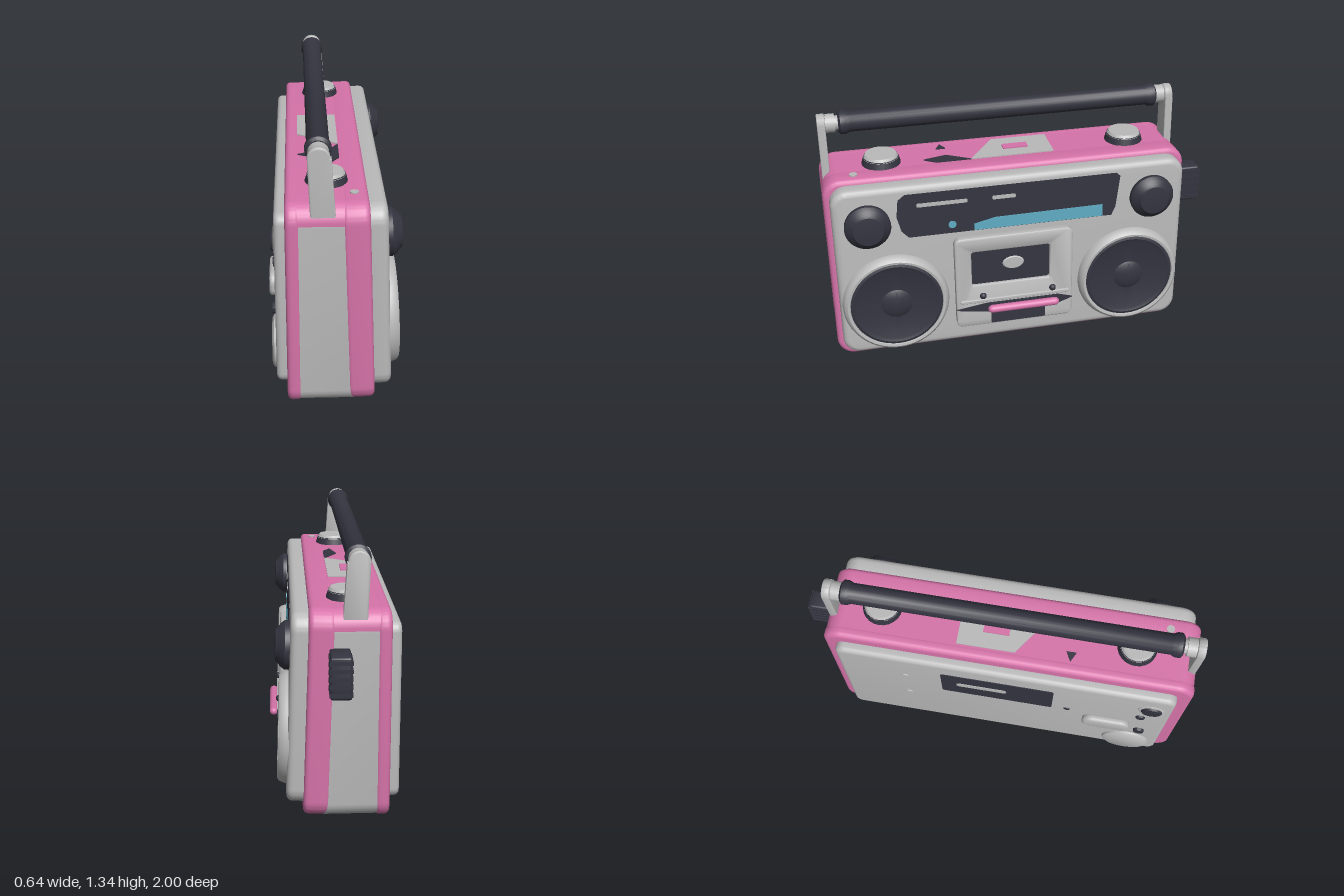
import * as THREE from 'three';
import { toCreasedNormals } from 'three/addons/utils/BufferGeometryUtils.js';

const paint = (name, color) => Object.assign(new THREE.MeshStandardMaterial({ color }), { name });
const MID = 0.55; // height about which the front half leans back

export function createModel() {
  const grey = paint('light grey', 0xbababa);
  const pink = paint('pink', 0xd673a9);
  const dark = paint('charcoal', 0x343440);
  const cyan = paint('cyan', 0x5fabc2);

  // Built facing +z, then turned so the speakers face +x
  const radio = new THREE.Group();
  radio.name = 'portableRadio';
  const front = new THREE.Group();
  front.name = 'frontHalf';
  front.position.y = MID;
  front.rotation.x = -0.035;
  radio.add(front);

  const add = (parent, name, geo, mat, x = 0, y = 0, z = 0) => {
    const m = new THREE.Mesh(geo, mat);
    m.name = name;
    m.position.set(x, parent === front ? y - MID : y, z);
    parent.add(m);
    return m;
  };

  const roundRect = (x0, x1, y0, y1, r, Type = THREE.Shape) => {
    const s = new Type();
    s.moveTo(x0 + r, y0);
    s.lineTo(x1 - r, y0);
    s.absarc(x1 - r, y0 + r, r, -Math.PI / 2, 0);
    s.lineTo(x1, y1 - r);
    s.absarc(x1 - r, y1 - r, r, 0, Math.PI / 2);
    s.lineTo(x0 + r, y1);
    s.absarc(x0 + r, y1 - r, r, Math.PI / 2, Math.PI);
    s.lineTo(x0, y0 + r);
    s.absarc(x0 + r, y0 + r, r, Math.PI, Math.PI * 1.5);
    return s;
  };

  // Extrude a shape between two depths, with a soft bevel
  const slab = (shape, z0, z1, bevel = 0) => {
    const g = new THREE.ExtrudeGeometry(shape, {
      depth: z1 - z0 - 2 * bevel, curveSegments: 8, bevelEnabled: bevel > 0,
      bevelThickness: bevel, bevelSize: bevel, bevelOffset: -bevel, bevelSegments: 4,
    });
    g.translate(0, 0, z0 + bevel);
    return toCreasedNormals(g, 0.7);
  };
  const plate = (parent, name, mat, [x0, x1, y0, y1], z0, z1, r, bevel = 0) =>
    add(parent, name, slab(roundRect(x0, x1, y0, y1, r), z0, z1, bevel), mat);
  const poly = (pts) => new THREE.Shape(pts.map((p) => new THREE.Vector2(...p)));
  // Turned part whose axis points along +z
  const turned = (pts, seg = 40) => toCreasedNormals(
    new THREE.LatheGeometry(pts.map((p) => new THREE.Vector2(...p)), seg).rotateX(Math.PI / 2), 0.6);

  // Case: pink rear shell, grey middle band, pink top, pink front shell
  plate(radio, 'rearShell', pink, [-1, 0.86, 0.04, 1.055], -0.24, -0.17, 0.09, 0.025);
  plate(radio, 'middleBand', grey, [-0.995, 0.855, 0.045, 1.04], -0.19, 0.07, 0.085);
  const lid = new THREE.Shape();
  lid.moveTo(-0.995, 0.965);
  lid.lineTo(0.855, 0.965);
  lid.absarc(0.77, 0.97, 0.085, 0, Math.PI / 2);
  lid.lineTo(-0.91, 1.055);
  lid.absarc(-0.91, 0.97, 0.085, Math.PI / 2, Math.PI);
  add(radio, 'topCover', slab(lid, -0.19, 0.07), pink);
  plate(front, 'frontShell', pink, [-1, 0.86, 0.045, 1.055], 0.025, 0.15, 0.09, 0.025);
  plate(front, 'frontPanel', grey, [-0.97, 0.835, 0.1, 1.03], 0.12, 0.23, 0.085, 0.03);
  plate(radio, 'backPanel', grey, [-0.925, 0.795, 0.12, 0.985], -0.29, -0.2, 0.05, 0.025);

  // Tuner window with scale strip
  add(front, 'tunerWindow', slab(poly([[-0.6, 0.752], [0.45, 0.752], [0.47, 0.8], [0.49, 0.97],
    [0.47, 0.988], [-0.61, 0.988], [-0.645, 0.96], [-0.655, 0.87], [-0.635, 0.79]]), 0.226, 0.234), dark);
  add(front, 'tunerScale', slab(poly([[-0.27, 0.755], [0.4, 0.755], [0.4, 0.82], [-0.16, 0.815],
    [-0.27, 0.79]]), 0.23, 0.238), cyan);
  add(front, 'tunerLamp', turned([[0.02, 0], [0.02, 0.008], [0, 0.008]], 16), cyan, -0.38, 0.8, 0.23);
  for (const [x0, x1] of [[-0.555, -0.3], [-0.175, -0.055]])
    plate(front, 'tunerMark', grey, [x0, x1, 0.915, 0.935], 0.23, 0.237, 0.008);

  // Front knobs
  for (const x of [-0.8, 0.66])
    add(front, 'frontKnob', turned([[0.113, 0], [0.115, 0.035], [0.1, 0.055], [0.085, 0.065],
      [0.075, 0.078], [0.03, 0.082], [0, 0.082]]), dark, x, 0.84, 0.218);

  // Speakers: raised grey rim, dark cone and dust cap
  for (const x of [-0.685, 0.55]) {
    add(front, 'speakerRim', turned([[0.275, -0.02], [0.272, 0.02], [0.262, 0.045], [0.25, 0.054],
      [0.238, 0.052], [0.232, 0.035]], 56), grey, x, 0.39, 0.22);
    add(front, 'speakerCone', turned([[0.237, 0.045], [0.222, 0.05], [0.205, 0.043], [0.08, 0.034],
      [0.07, 0.04], [0.04, 0.048], [0, 0.051]], 56), dark, x, 0.39, 0.22);
  }

  // Cassette door with recessed window
  const door = roundRect(-0.38, 0.238, 0.2, 0.722, 0.035);
  door.holes.push(roundRect(-0.295, 0.115, 0.445, 0.64, 0.015, THREE.Path));
  add(front, 'cassetteDoor', slab(door, 0.21, 0.268, 0.01), grey);
  plate(front, 'cassetteWindow', dark, [-0.3, 0.12, 0.44, 0.645], 0.236, 0.25, 0.01);
  const hub = add(front, 'cassetteHub', turned([[0.058, 0], [0.05, 0.007], [0, 0.008]], 20), grey, -0.075, 0.55, 0.249);
  hub.scale.y = 0.65;
  plate(front, 'doorLedge', grey, [-0.36, 0.22, 0.345, 0.365], 0.25, 0.28, 0.008, 0.005);
  for (const x of [-0.24, 0.13])
    add(front, 'doorPin', new THREE.SphereGeometry(0.018, 12, 8), dark, x, 0.38, 0.268);
  add(front, 'latchBase', slab(poly([[-0.38, 0.312], [-0.22, 0.285], [0.16, 0.285], [0.235, 0.312],
    [0.16, 0.335], [-0.22, 0.335]]), 0.255, 0.278), dark);
  const bar = add(front, 'latchBar', new THREE.CapsuleGeometry(0.022, 0.335, 6, 14).rotateZ(Math.PI / 2),
    pink, -0.03, 0.31, 0.295);
  bar.scale.y = 0.95;
  plate(front, 'latchRecess', dark, [-0.2, 0.09, 0.21, 0.275], 0.264, 0.272, 0.01);

  // Carrying handle: flat posts, collars and padded grip
  const HY = 1.275, HZ = -0.09;
  const post = new THREE.Shape();
  post.moveTo(-0.125, 0.93);
  post.lineTo(-0.012, 0.93);
  post.lineTo(-0.035, HY);
  post.absarc(HZ, HY, 0.05, 0, Math.PI);
  for (const [x, s] of [[-0.968, 1], [0.822, -1]]) {
    const g = slab(post, -0.02, 0.02, 0.006).rotateY(-Math.PI / 2);
    add(radio, 'handlePost', g, grey, x, 0, 0);
    for (const [r, w, d] of [[0.036, 0.09, 0.045], [0.047, 0.045, 0.045]])
      add(radio, 'handleCollar', new THREE.CylinderGeometry(r, r, w, 24).rotateZ(Math.PI / 2), grey, x + s * d, HY, HZ);
  }
  const grip = [[0, -0.82], [0.046, -0.82], [0.06, -0.81], [0.06, -0.785], [0.051, -0.765]];
  const gripPts = [...grip, ...grip.slice().reverse().map(([r, l]) => [r, -l])];
  add(radio, 'handleGrip', turned(gripPts, 28).rotateY(Math.PI / 2), dark, -0.065, HY, HZ);

  // Top dials with grey caps
  for (const x of [-0.69, 0.585]) {
    add(radio, 'dialBase', new THREE.CylinderGeometry(0.088, 0.1, 0.04, 24), dark, x, 1.072, -0.05);
    add(radio, 'dialCap', new THREE.CylinderGeometry(0.078, 0.09, 0.018, 24), grey, x, 1.096, -0.05);
  }

  // Top inlays, drawn as (x, -z) and laid flat
  const inlay = (name, mat, pts, y) => add(radio, name, slab(poly(pts), 0, 0.008).rotateX(-Math.PI / 2), mat, 0, y, 0);
  inlay('topInlay', grey, [[-0.24, -0.02], [0.19, -0.02], [0.19, 0.18], [-0.1, 0.18]], 1.052);
  inlay('topButton', pink, [[-0.06, 0.05], [0.07, 0.05], [0.07, 0.1], [-0.06, 0.1]], 1.058);
  inlay('topArrow', dark, [[-0.48, 0.02], [-0.42, -0.02], [-0.24, -0.02], [-0.36, 0.05]], 1.052);
  inlay('topMarker', dark, [[-0.4, 0.13], [-0.35, 0.13], [-0.375, 0.18]], 1.052);
  add(radio, 'topLamp', new THREE.CylinderGeometry(0.02, 0.02, 0.012, 16), grey, -0.84, 1.058, 0.07);

  // Ribbed knob on the end
  plate(radio, 'sideKnob', dark, [0.85, 0.995, 0.69, 0.89], -0.05, 0.045, 0.015, 0.01);
  for (let i = 0; i < 5; i++)
    add(radio, 'sideKnobRib', new THREE.BoxGeometry(0.125, 0.018, 0.104), dark, 0.9375, 0.715 + i * 0.037, -0.0025);

  // Feet
  for (const x of [-0.7, 0.555]) {
    const foot = add(radio, 'foot', new THREE.CylinderGeometry(0.09, 0.055, 0.06, 20), dark, x, 0.03, -0.05);
    foot.scale.z = 0.6;
  }

  // Back details: label, sockets, cable catch and round cover
  const back = new THREE.Group();
  back.name = 'backDetails';
  back.rotation.y = Math.PI;
  radio.add(back);
  plate(back, 'backLabel', dark, [-0.26, 0.32, 0.62, 0.87], 0.286, 0.294, 0.015);
  plate(back, 'labelMark', grey, [-0.18, 0.08, 0.735, 0.775], 0.29, 0.297, 0.018);
  const disc = (name, mat, x, y, r, h) =>
    add(back, name, turned([[r, 0], [r * 0.97, h * 0.6], [r * 0.85, h], [0, h]], 28), mat, x, y, 0.285);
  disc('backSocketRing', grey, 0.82, 0.825, 0.07, 0.01);
  disc('backSocket', dark, 0.82, 0.825, 0.055, 0.02);
  disc('backPort', dark, 0.78, 0.69, 0.025, 0.014);
  disc('backPin', dark, 0.8, 0.46, 0.03, 0.02);
  disc('backCover', grey, 0.75, 0.25, 0.13, 0.025);
  disc('backScrew', grey, -0.45, 0.75, 0.022, 0.008);
  disc('backScrew', grey, -0.45, 0.48, 0.022, 0.008);
  disc('backScrew', dark, 0.4, 0.63, 0.018, 0.008);
  plate(back, 'cableCatch', grey, [0.49, 0.74, 0.47, 0.59], 0.28, 0.32, 0.05, 0.015);

  radio.rotation.y = Math.PI / 2;
  const model = new THREE.Group();
  model.name = 'model';
  model.add(radio);
  return model;
}
